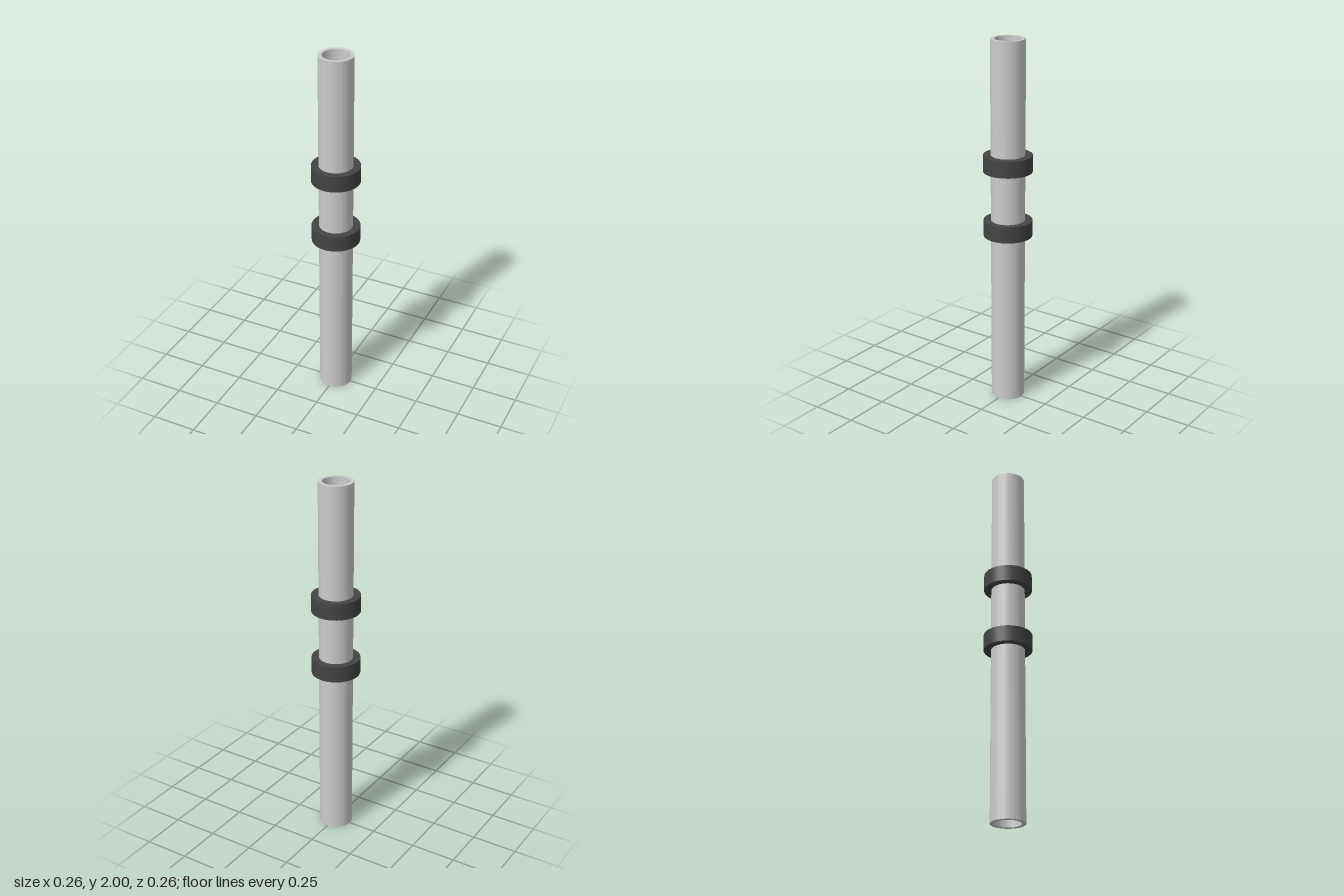
import * as THREE from 'three';
import { toCreasedNormals } from 'three/addons/utils/BufferGeometryUtils.js';

const TUBE_OUTER = 0.091, TUBE_INNER = 0.07, COLLAR_OUTER = 0.13;

// Upright hollow cylinder with smooth walls and sharp rims
function ring(name, outer, inner, bottom, height, material) {
  const shape = new THREE.Shape().absarc(0, 0, outer, 0, Math.PI * 2);
  shape.holes.push(new THREE.Path().absarc(0, 0, inner, 0, Math.PI * 2, true));
  const extruded = new THREE.ExtrudeGeometry(shape, { depth: height, bevelEnabled: false, curveSegments: 32 });
  extruded.rotateX(-Math.PI / 2);
  const mesh = new THREE.Mesh(toCreasedNormals(extruded, Math.PI / 6), material);
  mesh.name = name;
  mesh.position.y = bottom;
  return mesh;
}

export function createModel() {
  const model = new THREE.Group();
  model.name = 'collaredTube';
  const grey = new THREE.MeshStandardMaterial({ color: 0xcccccc });
  const dark = new THREE.MeshStandardMaterial({ color: 0x444444 });

  // Long open pipe
  model.add(ring('tube', TUBE_OUTER, TUBE_INNER, 0, 2, grey));

  // Two dark collars fitted around the pipe
  model.add(ring('lowerCollar', COLLAR_OUTER, TUBE_OUTER, 0.943, 0.088, dark));
  model.add(ring('upperCollar', COLLAR_OUTER, TUBE_OUTER, 1.3, 0.09, dark));
  return model;
}
